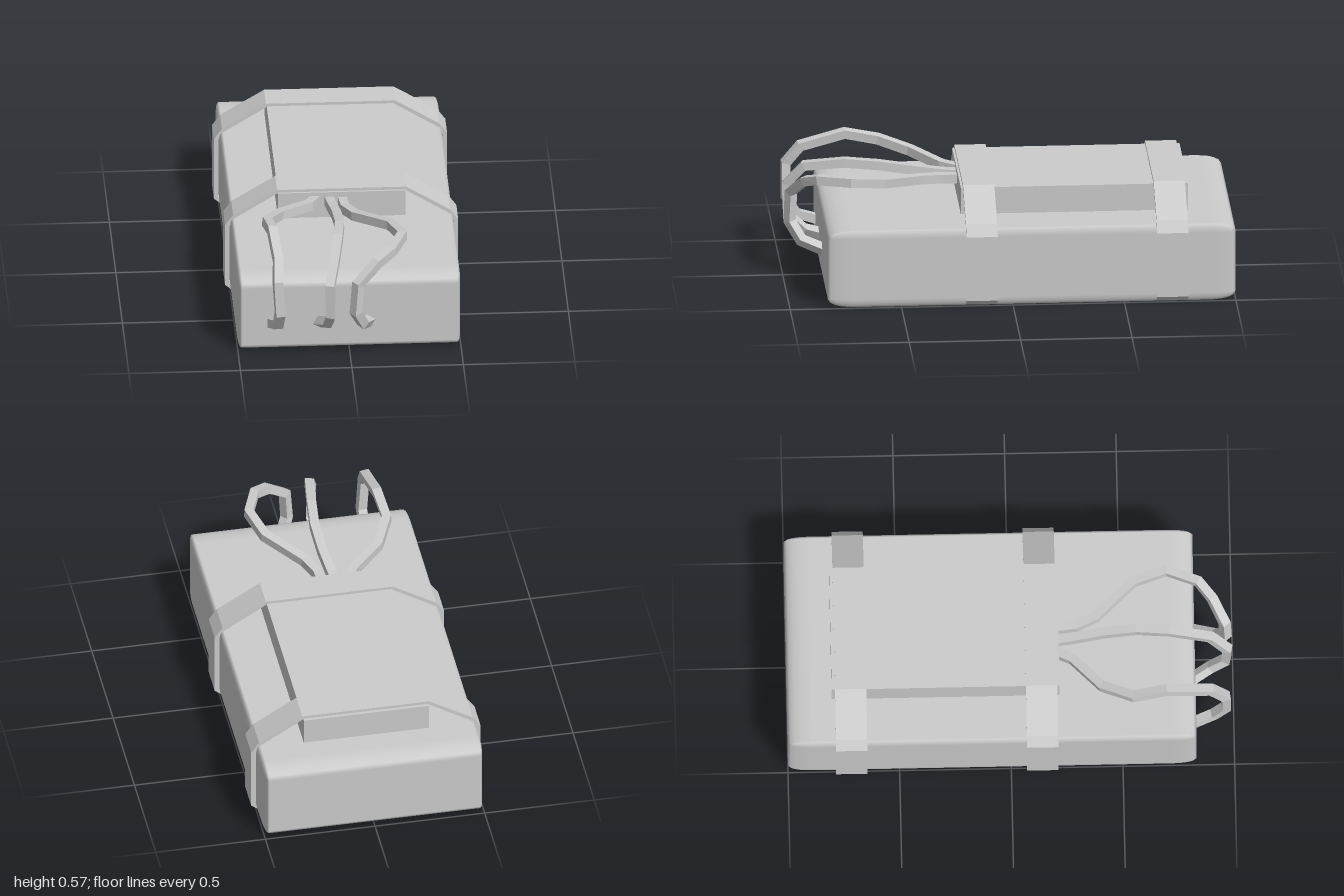
import * as THREE from 'three';
import { RoundedBoxGeometry } from 'three/addons/geometries/RoundedBoxGeometry.js';

const smooth = new THREE.MeshStandardMaterial({ color: 0xcccccc });
const flat = new THREE.MeshStandardMaterial({ color: 0xcccccc, flatShading: true });
const thin = new THREE.MeshStandardMaterial({ color: 0xcccccc, flatShading: true, side: THREE.DoubleSide });

// Path whose tube rings sit exactly on the given points, with a square section set level
class WirePath extends THREE.CatmullRomCurve3 {
  getPointAt(u, target) { return this.getPoint(u, target); }
  getTangentAt(u, target) { return this.getTangent(u, target); }
  computeFrenetFrames(segments, closed) {
    const f = super.computeFrenetFrames(segments, closed);
    f.normals.forEach((n, i) => {
      n.applyAxisAngle(f.tangents[i], Math.PI / 4);
      f.binormals[i].crossVectors(f.tangents[i], n);
    });
    return f;
  }
}

// Symmetric outline from its right half, listed bottom to top
function mirrored(half) {
  const left = half.map(([x, y]) => [-x, y]).reverse();
  return [...half, ...left].map(([x, y]) => new THREE.Vector2(x, y));
}

export function createModel() {
  const model = new THREE.Group();
  const add = (name, geometry, material, x = 0, y = 0, z = 0) => {
    const mesh = new THREE.Mesh(geometry, material);
    mesh.name = name;
    mesh.position.set(x, y, z);
    model.add(mesh);
    return mesh;
  };

  // Main slab, its rounded edges stretched differently along each axis
  const bevel = [0.018, 0.04, 0.11];
  const body = new RoundedBoxGeometry(1 / bevel[0], 0.363 / bevel[1], 1.83 / bevel[2], 2, 1);
  body.scale(...bevel);
  add('body', body, smooth, 0, 0.1815, -0.085);

  // Raised block on top
  add('topBlock', new THREE.BoxGeometry(0.572, 0.137, 1.02), flat, 0, 0.4185, -0.29);

  // Two straps wrapped around slab and block
  const band = new THREE.Shape(mirrored([
    [0.487, 0.003], [0.523, 0.03], [0.523, 0.33], [0.487, 0.38], [0.29, 0.5],
  ]));
  band.holes.push(new THREE.Path(mirrored([
    [0.475, 0.015], [0.502, 0.035], [0.502, 0.325], [0.473, 0.368], [0.284, 0.485],
  ])));
  const strap = new THREE.ExtrudeGeometry(band, { depth: 0.14, bevelEnabled: false });
  add('frontStrap', strap, flat, 0, 0, 0.07);
  add('backStrap', strap, flat, 0, 0, -0.785);

  // Three square wires looping from the block down to the front face
  const wires = {
    rightWire: [
      [-0.10, 0.445, 0.18], [-0.15, 0.455, 0.28], [-0.29, 0.48, 0.41], [-0.355, 0.515, 0.55],
      [-0.34, 0.55, 0.7], [-0.325, 0.5, 0.9], [-0.33, 0.42, 0.965], [-0.32, 0.26, 0.965],
      [-0.325, 0.18, 0.91], [-0.35, 0.145, 0.82],
    ],
    middleWire: [
      [-0.06, 0.44, 0.18], [-0.05, 0.45, 0.28], [-0.035, 0.475, 0.42], [-0.03, 0.5, 0.57],
      [-0.045, 0.51, 0.72], [-0.07, 0.49, 0.9], [-0.095, 0.4, 0.975], [-0.09, 0.25, 0.97],
      [-0.1, 0.18, 0.9], [-0.14, 0.145, 0.82],
    ],
    leftWire: [
      [0, 0.44, 0.18], [0.01, 0.445, 0.3], [0.05, 0.455, 0.39], [0.2, 0.49, 0.56],
      [0.243, 0.51, 0.71], [0.19, 0.508, 0.85], [0.12, 0.48, 0.91], [0.03, 0.4, 0.965],
      [0.02, 0.26, 0.97], [0.055, 0.18, 0.92], [0.09, 0.145, 0.82],
    ],
  };
  for (const [name, points] of Object.entries(wires)) {
    const path = new WirePath(points.map((p) => new THREE.Vector3(...p)));
    add(name, new THREE.TubeGeometry(path, points.length - 1, 0.029, 4, false), thin);
  }

  return model;
}
